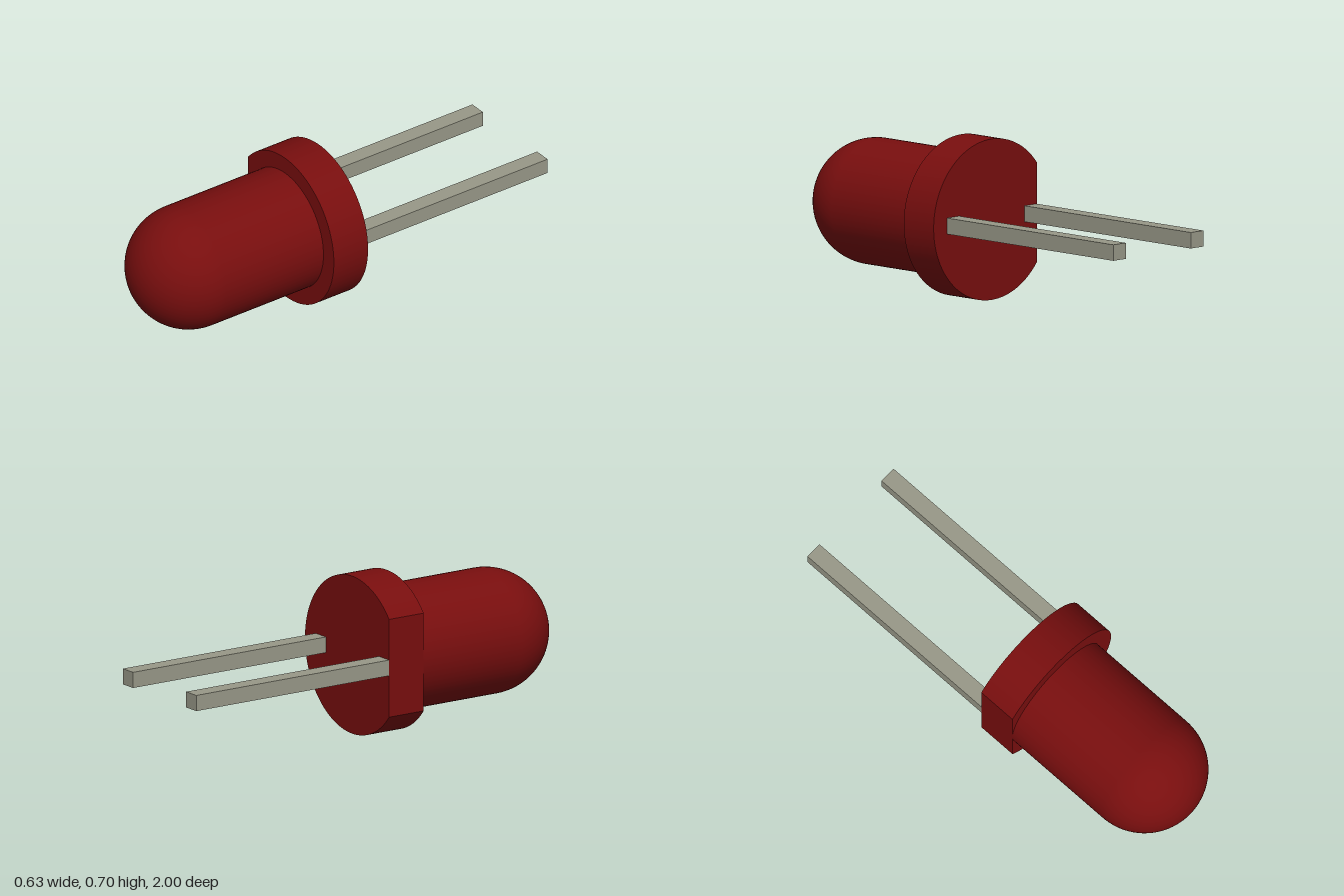
import * as THREE from 'three';
import { toCreasedNormals } from 'three/addons/utils/BufferGeometryUtils.js';

export function createModel() {
  const model = new THREE.Group();
  const red = new THREE.MeshStandardMaterial({ name: 'deep red plastic', color: 0x780e0e });
  const metal = new THREE.MeshStandardMaterial({ name: 'dull metal', color: 0x989888 });

  const cx = -0.038, cy = 0.352;           // lens axis
  const bodyR = 0.276, flangeR = 0.352;
  const backZ = 0.02, flangeZ = 0.203, tipZ = 1;

  const add = (name, geometry, material, x, y, z) => {
    const mesh = new THREE.Mesh(geometry, material);
    mesh.name = name;
    mesh.position.set(x, y, z);
    model.add(mesh);
  };

  // Lens: straight barrel ending in a hemisphere
  const profile = [new THREE.Vector2(bodyR, flangeZ)];
  const steps = 24;
  for (let i = 0; i <= steps; i++) {
    const a = (i / steps) * Math.PI / 2;
    profile.push(new THREE.Vector2(
      i === steps ? 0 : bodyR * Math.cos(a),
      tipZ - bodyR + bodyR * Math.sin(a)));
  }
  const lens = new THREE.LatheGeometry(profile, 72);
  lens.rotateX(Math.PI / 2);
  add('lens', lens, red, cx, cy, 0);

  // Flange: disc with one flat side, flush with the barrel
  const cut = Math.acos(-bodyR / flangeR);
  const outline = new THREE.Shape();
  outline.absarc(0, 0, flangeR, -cut, cut, false);
  outline.closePath();
  const flange = new THREE.ExtrudeGeometry(outline, {
    depth: flangeZ - backZ, bevelEnabled: false, curveSegments: 72,
  });
  add('flange', toCreasedNormals(flange, 0.5), red, cx, cy, backZ);

  // Two square wire leads
  const length = backZ + 1;
  for (const [name, x] of [['rightLead', -0.276], ['leftLead', 0.196]]) {
    add(name, new THREE.BoxGeometry(0.076, 0.07, length), metal, x, 0.354, backZ - length / 2);
  }

  return model;
}
